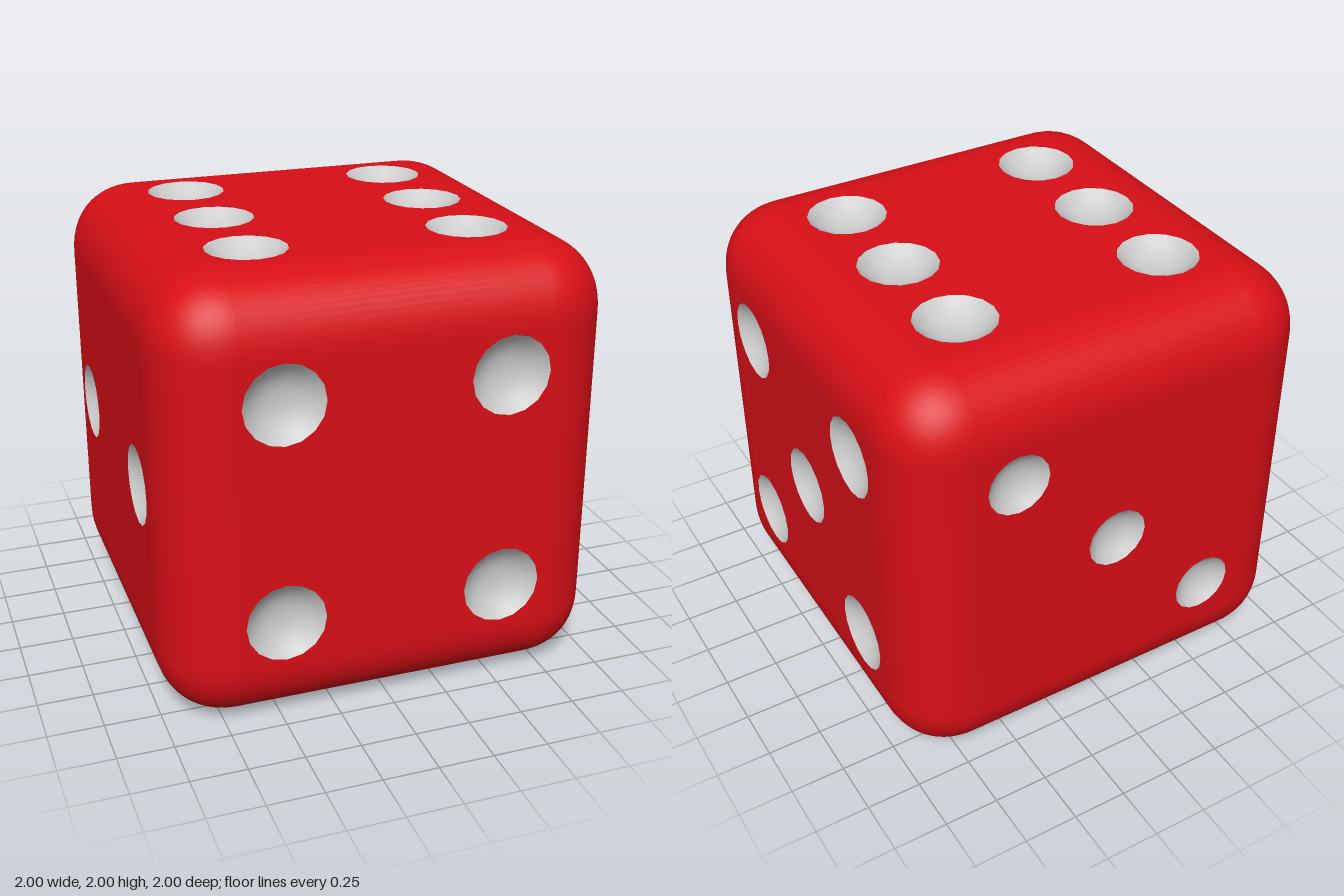
import * as THREE from 'three';
import { RoundedBoxGeometry } from 'three/addons/geometries/RoundedBoxGeometry.js';

const ROUND = 0.32; // width of the rounded border
const FLAT = 1 - ROUND; // half size of each flat face
const POWER = 2.2; // slightly squarer than a circular rounding
const SIDES = 16;
const P = 0.495; // pip spacing

const red = new THREE.MeshStandardMaterial({ color: 0xd80f16 });
const grey = new THREE.MeshStandardMaterial({ color: 0xcccccc });

// Rounded edges and corners, with the six flat panels left open
function roundedFrame() {
  const box = new RoundedBoxGeometry(2, 2, 2, 8, ROUND);
  const src = box.index ? box.toNonIndexed() : box;
  const pos = src.attributes.position;
  const positions = [], normals = [];
  const v = new THREE.Vector3();
  for (let i = 0; i < pos.count; i += 3) {
    const tri = [0, 1, 2].map((k) => new THREE.Vector3().fromBufferAttribute(pos, i + k));
    const isPanel = ['x', 'y', 'z'].some((a) =>
      tri.every((p) => Math.abs(p[a]) > 0.99999) &&
      tri.every((p) => p.toArray().filter((c) => Math.abs(c) < FLAT + 1e-4).length === 2));
    if (isPanel) continue;
    for (const p of tri) {
      const core = p.clone().clampScalar(-FLAT, FLAT);
      const n = v.subVectors(p, core).toArray();
      const len = n.reduce((s, c) => s + Math.abs(c) ** POWER, 0) ** (1 / POWER);
      const u = n.map((c) => c / len);
      positions.push(...core.toArray().map((c, k) => c + u[k] * ROUND));
      const normal = new THREE.Vector3(...u.map((c) => Math.sign(c) * Math.abs(c) ** (POWER - 1)));
      normals.push(...normal.normalize().toArray());
    }
  }
  const geo = new THREE.BufferGeometry();
  geo.setAttribute('position', new THREE.Float32BufferAttribute(positions, 3));
  geo.setAttribute('normal', new THREE.Float32BufferAttribute(normals, 3));
  return geo;
}

// Flat square panel with a round hole for each pip
function panel(pips, radius) {
  const shape = new THREE.Shape([[-1, -1], [1, -1], [1, 1], [-1, 1]]
    .map(([x, y]) => new THREE.Vector2(x * FLAT, y * FLAT)));
  for (const [x, y] of pips) {
    const rim = [];
    for (let i = 0; i < SIDES; i++) {
      const a = -i / SIDES * Math.PI * 2;
      rim.push(new THREE.Vector2(x + Math.cos(a) * radius, y + Math.sin(a) * radius));
    }
    shape.holes.push(new THREE.Path(rim));
  }
  return new THREE.ShapeGeometry(shape);
}

// Shallow bowl, opening towards +z
function bowl(radius) {
  const profile = [];
  for (let i = 0; i <= 6; i++) {
    const t = 1 - i / 6;
    profile.push(new THREE.Vector2(radius * t, -0.45 * radius * (1 - t ** 2.5)));
  }
  return new THREE.LatheGeometry(profile, SIDES).rotateX(Math.PI / 2);
}

export function createModel() {
  const model = new THREE.Group();
  model.name = 'die';
  const body = new THREE.Group();
  body.position.y = 1;
  model.add(body);

  const frame = new THREE.Mesh(roundedFrame(), red);
  frame.name = 'roundedEdges';
  body.add(frame);

  const H = Math.PI / 2;
  const corners = [[-P, P], [P, P], [-P, -P], [P, -P]];
  const faces = [
    { name: 'frontFace', rot: [0, 0], pips: corners },
    { name: 'rightFace', rot: [0, H], pips: [...corners, [0, 0]] },
    { name: 'backFace', rot: [0, 2 * H], pips: [[-P, P], [0, 0], [P, -P]], radius: 0.143 },
    { name: 'leftFace', rot: [0, -H], pips: [[-P, 0], [P, 0]] },
    { name: 'topFace', rot: [-H, 0], pips: [...corners, [-P, 0], [P, 0]] },
    { name: 'bottomFace', rot: [H, 0], pips: [[0, 0]] },
  ];
  for (const { name, rot, pips, radius = 0.178 } of faces) {
    const face = new THREE.Group();
    face.name = name;
    face.rotation.set(rot[0], rot[1], 0);
    const plate = new THREE.Mesh(panel(pips, radius), red);
    plate.name = 'panel';
    plate.position.z = 1;
    face.add(plate);
    const pipGeo = bowl(radius);
    for (const [x, y] of pips) {
      const pip = new THREE.Mesh(pipGeo, grey);
      pip.name = 'pip';
      pip.position.set(x, y, 1);
      face.add(pip);
    }
    body.add(face);
  }
  return model;
}
